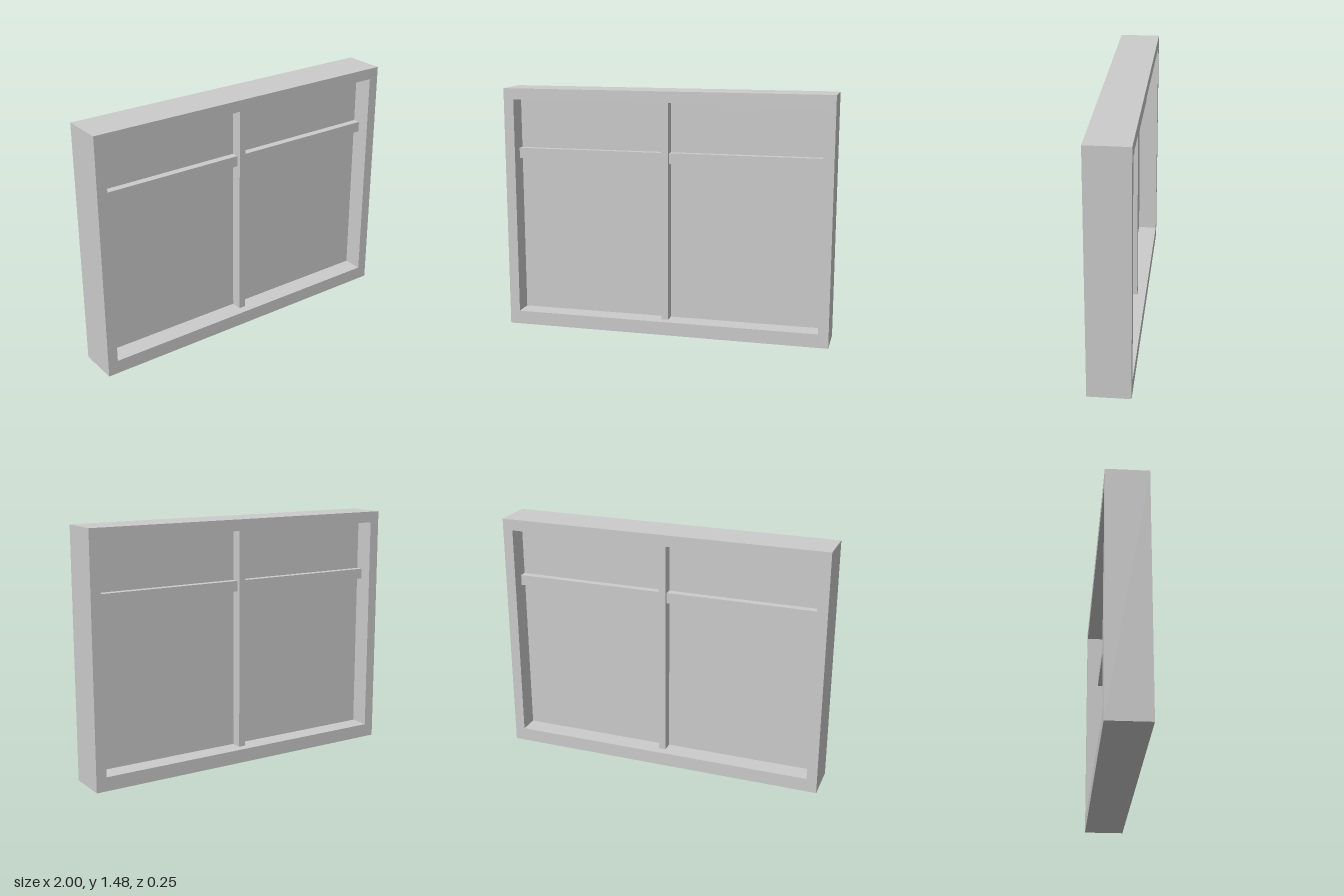
import * as THREE from 'three';

const FRAME = { x0: -1, x1: 1, y0: 0, y1: 1.484, depth: 0.25 };
const OPENING = { x0: -0.938, x1: 0.938, y0: 0.083, y1: 1.417 };
const MULLION = { x0: -0.026, x1: 0.017, depth: 0.144 };
const RAIL = { y0: 1.048, y1: 1.112, depth: 0.1 };

function trace(path, { x0, x1, y0, y1 }) {
  return path.moveTo(x0, y0).lineTo(x1, y0).lineTo(x1, y1).lineTo(x0, y1).closePath();
}

export function createModel() {
  const group = new THREE.Group();
  group.name = 'window';
  const material = new THREE.MeshStandardMaterial({ color: 0xcccccc });

  const add = (name, geometry) => {
    const mesh = new THREE.Mesh(geometry, material);
    mesh.name = name;
    group.add(mesh);
    return mesh;
  };

  // Box spanning the given limits, centred on z = 0
  const bar = (name, x0, x1, y0, y1, depth) =>
    add(name, new THREE.BoxGeometry(x1 - x0, y1 - y0, depth))
      .position.set((x0 + x1) / 2, (y0 + y1) / 2, 0);

  // Outer frame with one rectangular opening
  const outline = trace(new THREE.Shape(), FRAME);
  outline.holes.push(trace(new THREE.Path(), OPENING));
  const frame = new THREE.ExtrudeGeometry(outline, { depth: FRAME.depth, bevelEnabled: false });
  frame.translate(0, 0, -FRAME.depth / 2);
  add('frame', frame);

  // Thin pane in the middle of the frame depth
  const { x0, x1, y0, y1 } = OPENING;
  bar('pane', x0, x1, y0, y1, 0.01);

  // Upright mullion and the shallower rails on either side of it
  bar('mullion', MULLION.x0, MULLION.x1, y0, y1, MULLION.depth);
  bar('rightRail', x0, MULLION.x0, RAIL.y0, RAIL.y1, RAIL.depth);
  bar('leftRail', MULLION.x1, x1, RAIL.y0, RAIL.y1, RAIL.depth);

  return group;
}
